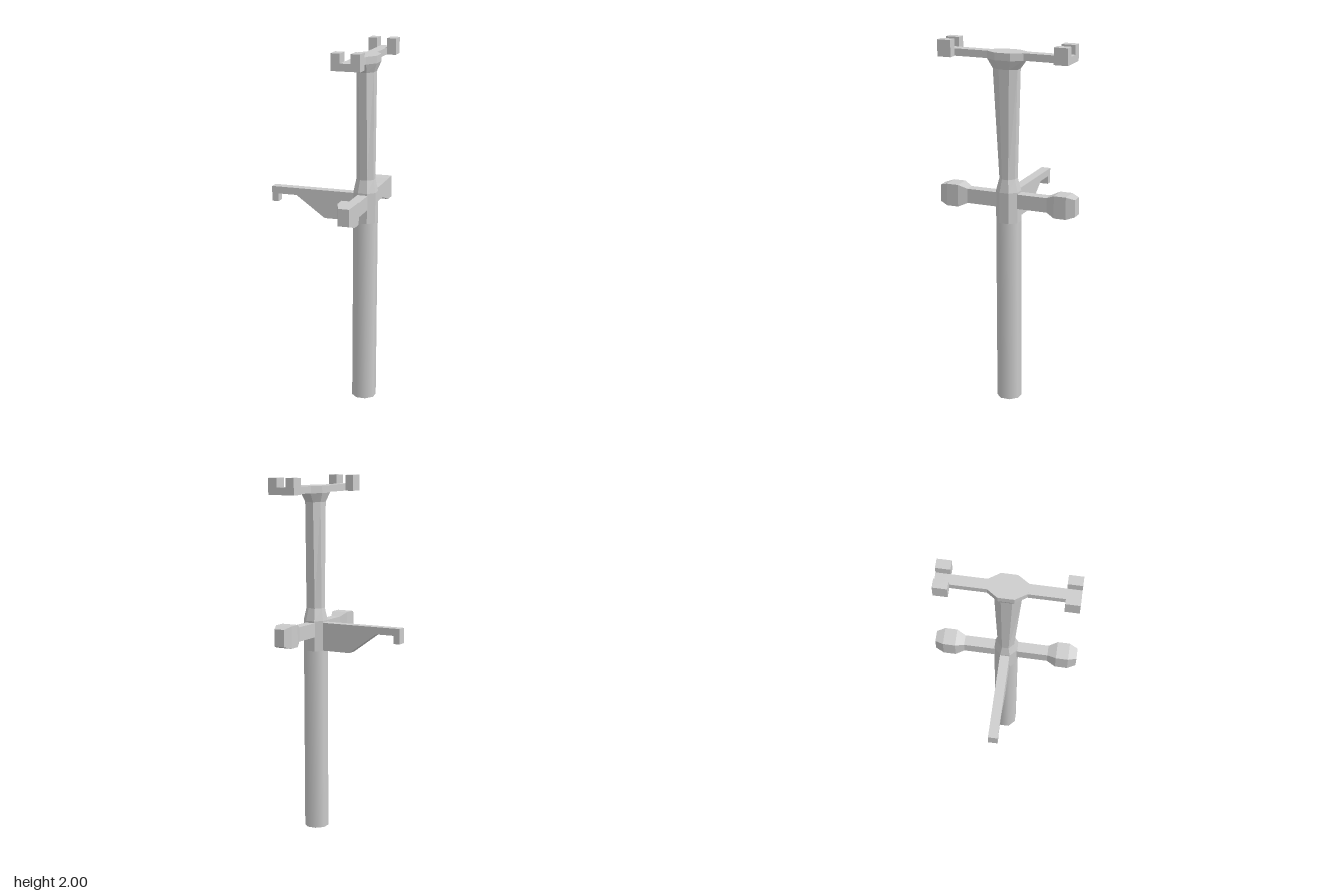
import * as THREE from 'three';

const MAST_X = 0.23;

// Joins stacked rings [y, [[x, z], ...]] into a closed, faceted solid
function loft(rings) {
  const pos = [];
  const at = (r, i) => {
    const [y, pts] = rings[r];
    const p = pts[i % pts.length];
    return [p[0], y, p[1]];
  };
  const n = rings[0][1].length;
  const last = rings.length - 1;
  for (let r = 0; r < last; r++) {
    for (let i = 0; i < n; i++) {
      const a = at(r, i), b = at(r, i + 1), c = at(r + 1, i), d = at(r + 1, i + 1);
      pos.push(...b, ...a, ...c, ...b, ...c, ...d);
    }
  }
  for (let i = 1; i < n - 1; i++) {
    pos.push(...at(0, 0), ...at(0, i), ...at(0, i + 1));
    pos.push(...at(last, 0), ...at(last, i + 1), ...at(last, i));
  }
  const geo = new THREE.BufferGeometry();
  geo.setAttribute('position', new THREE.Float32BufferAttribute(pos, 3));
  geo.computeVertexNormals();
  return geo;
}

// Eight-sided ring: half width, half width of the flat, front/back reach, side flat front/back
const octagon = (y, hx, fx, front, back, f, b) => [y, [
  [hx, -b], [hx, f], [fx, front], [-fx, front], [-hx, f], [-hx, -b], [-fx, -back], [fx, -back],
]];

const rectangle = (y, hx, hz) => [y, [[hx, -hz], [hx, hz], [-hx, hz], [-hx, -hz]]];

// Flat outline extruded between two z positions
function slab(points, z0, z1) {
  const shape = new THREE.Shape(points.map(([x, y]) => new THREE.Vector2(x, y)));
  const geo = new THREE.ExtrudeGeometry(shape, { depth: z1 - z0, bevelEnabled: false });
  return geo.translate(0, 0, z0);
}

export function createModel() {
  const model = new THREE.Group();
  model.name = 'forkedStand';
  const flat = new THREE.MeshStandardMaterial({ color: 0xcccccc, flatShading: true });
  const smooth = new THREE.MeshStandardMaterial({ color: 0xcccccc });
  const add = (name, geo, material = flat) => {
    const mesh = new THREE.Mesh(geo, material);
    mesh.name = name;
    model.add(mesh);
  };

  // Lower pole, softly shaded octagon
  const pole = new THREE.CylinderGeometry(0.0677, 0.0677, 1.03, 8);
  add('pole', pole.rotateY(Math.PI / 8).translate(MAST_X, 0.515, 0), smooth);

  // Faceted neck, flaring to the head
  add('neckAndHead', loft([
    octagon(1.03, 0.0625, 0.026, 0.0625, 0.0625, 0.026, 0.026),
    octagon(1.2, 0.0625, 0.026, 0.0625, 0.0625, 0.026, 0.026),
    octagon(1.27, 0.049, 0.02, 0.045, 0.045, 0.018, 0.018),
    octagon(1.86, 0.049, 0.022, 0.078, 0.062, 0.033, 0.025),
    octagon(1.91, 0.068, 0.028, 0.107, 0.098, 0.046, 0.039),
    octagon(1.95, 0.068, 0.028, 0.107, 0.098, 0.046, 0.039),
  ]).translate(MAST_X, 0, 0));

  // Top bar with an upright fork at each end
  add('topBar', new THREE.BoxGeometry(0.057, 0.039, 0.65).translate(MAST_X - 0.001, 1.93, 0.005));
  const fork = [
    [0.15, 1.91], [0.308, 1.91], [0.308, 2], [0.257, 2],
    [0.257, 1.95], [0.2, 1.95], [0.2, 2], [0.15, 2],
  ];
  add('frontFork', slab(fork, 0.294, 0.37));
  add('backFork', slab(fork, -0.36, -0.284));

  // Crossbar with swollen grips, lofted upright and laid along z
  const grip = [[0.39, 0.03, 0.047], [0.345, 0.048, 0.061], [0.278, 0.048, 0.061], [0.23, 0.029, 0.04]];
  const half = grip.map(([z, hx, hy]) => rectangle(z, hx, hy)).reverse();
  const other = grip.map(([z, hx, hy]) => rectangle(-z, hx, hy));
  const handle = loft([...other, ...half]).rotateX(Math.PI / 2);
  add('handles', handle.translate(MAST_X, 1.15, 0));

  // Side arm with a brace and a hooked tip
  add('sideArm', slab([
    [0.2, 1.19], [-0.31, 1.19], [-0.31, 1.105], [-0.272, 1.105],
    [-0.272, 1.15], [-0.165, 1.15], [0, 1.032], [0.2, 1.032],
  ], -0.027, 0.025));

  return model;
}
